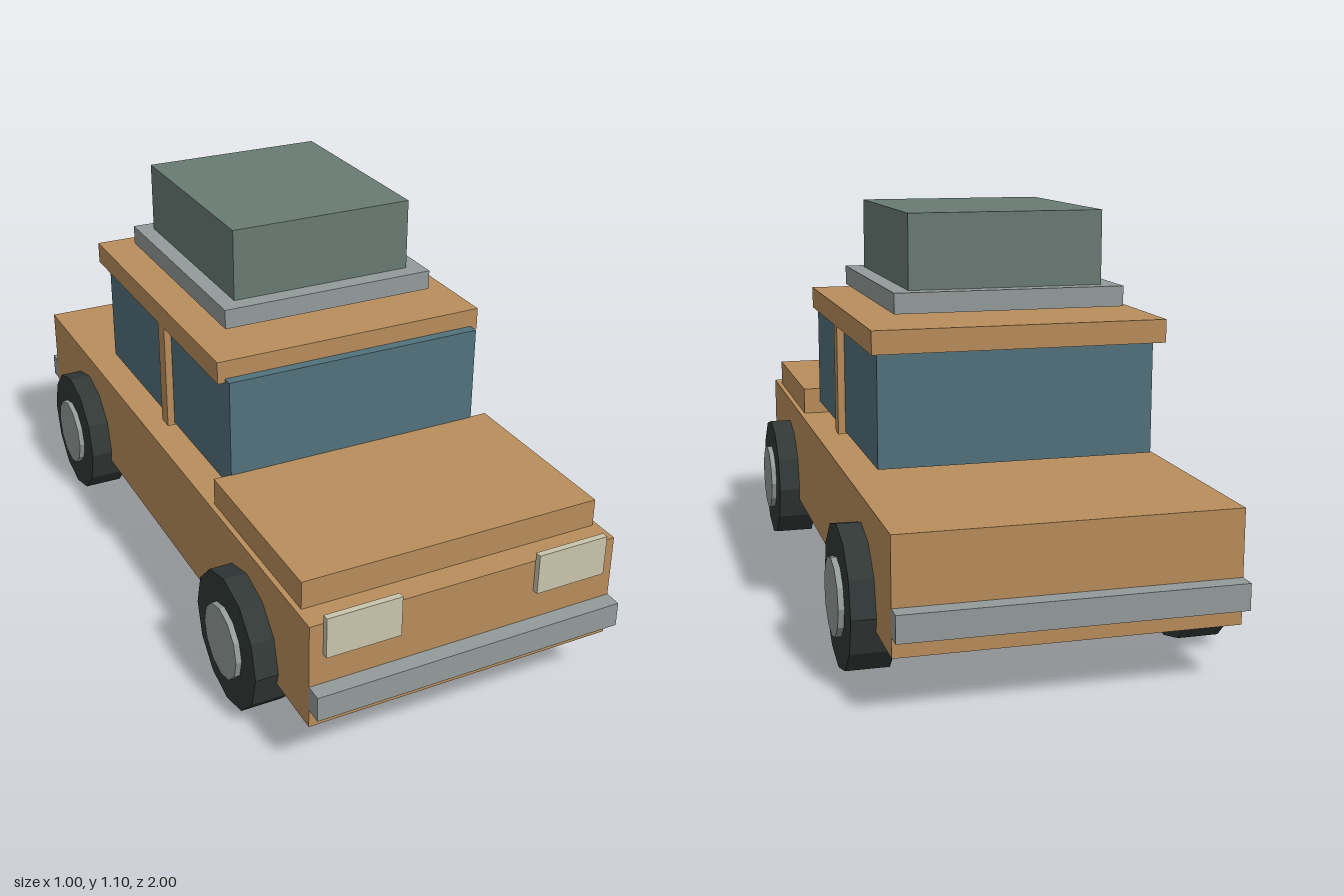
import * as THREE from 'three';

const material = (name, color, flatShading = false) => {
  const m = new THREE.MeshStandardMaterial({ color, flatShading });
  m.name = name;
  return m;
};

export function createModel() {
  const paint = material('tan paint', 0xb98d5b);
  const glass = material('blue glass', 0x51717b);
  const metal = material('grey metal', 0x929b9a);
  const canvas = material('green canvas', 0x687b73);
  const lamp = material('cream lamp', 0xc9c4ac);
  const rubber = material('dark rubber', 0x313836, true);
  const hubMetal = metal;

  const car = new THREE.Group();
  car.name = 'car';

  // Box given by its extents on each axis
  const box = (name, mat, [x0, x1], [y0, y1], [z0, z1]) => {
    const mesh = new THREE.Mesh(new THREE.BoxGeometry(x1 - x0, y1 - y0, z1 - z0), mat);
    mesh.position.set((x0 + x1) / 2, (y0 + y1) / 2, (z0 + z1) / 2);
    mesh.name = name;
    car.add(mesh);
  };

  // Bodywork and cabin
  box('body', paint, [-0.424, 0.424], [0.148, 0.435], [-0.955, 0.955]);
  box('hood', paint, [-0.41, 0.41], [0.435, 0.51], [0.375, 0.885]);
  box('cabinGlass', glass, [-0.362, 0.362], [0.47, 0.776], [-0.515, 0.378]);
  box('roof', paint, [-0.382, 0.382], [0.765, 0.825], [-0.553, 0.35]);

  // Roof load
  box('roofRack', metal, [-0.303, 0.303], [0.848, 0.901], [-0.45, 0.222]);
  box('luggage', canvas, [-0.257, 0.257], [0.901, 1.095], [-0.407, 0.175]);

  // Bumpers
  box('frontBumper', metal, [-0.424, 0.424], [0.198, 0.265], [0.955, 1]);
  box('rearBumper', metal, [-0.424, 0.424], [0.198, 0.265], [-1, -0.955]);

  // Wheel parts are cylinders lying along x
  const disc = (radius, length, mat, name, x) => {
    const geometry = new THREE.CylinderGeometry(radius, radius, length, 12).rotateZ(Math.PI / 2);
    const mesh = new THREE.Mesh(geometry.toNonIndexed(), mat);
    mesh.geometry.computeVertexNormals();
    mesh.name = name;
    mesh.position.x = x;
    return mesh;
  };

  for (const side of [-1, 1]) {
    const span = (a, b) => (side > 0 ? [a, b] : [-b, -a]);
    box('doorPillar', paint, span(0.34, 0.382), [0.463, 0.77], [-0.065, -0.021]);
    box('headlight', lamp, span(0.19, 0.388), [0.348, 0.458], [0.955, 0.972]);

    for (const z of [-0.606, 0.606]) {
      const wheel = new THREE.Group();
      wheel.name = 'wheel';
      wheel.position.set(0, 0.183, z);
      wheel.add(disc(0.183, 0.11, rubber, 'tyre', side * 0.43));
      wheel.add(disc(0.1, 0.05, hubMetal, 'hubcap', side * 0.475));
      car.add(wheel);
    }
  }
  return car;
}
